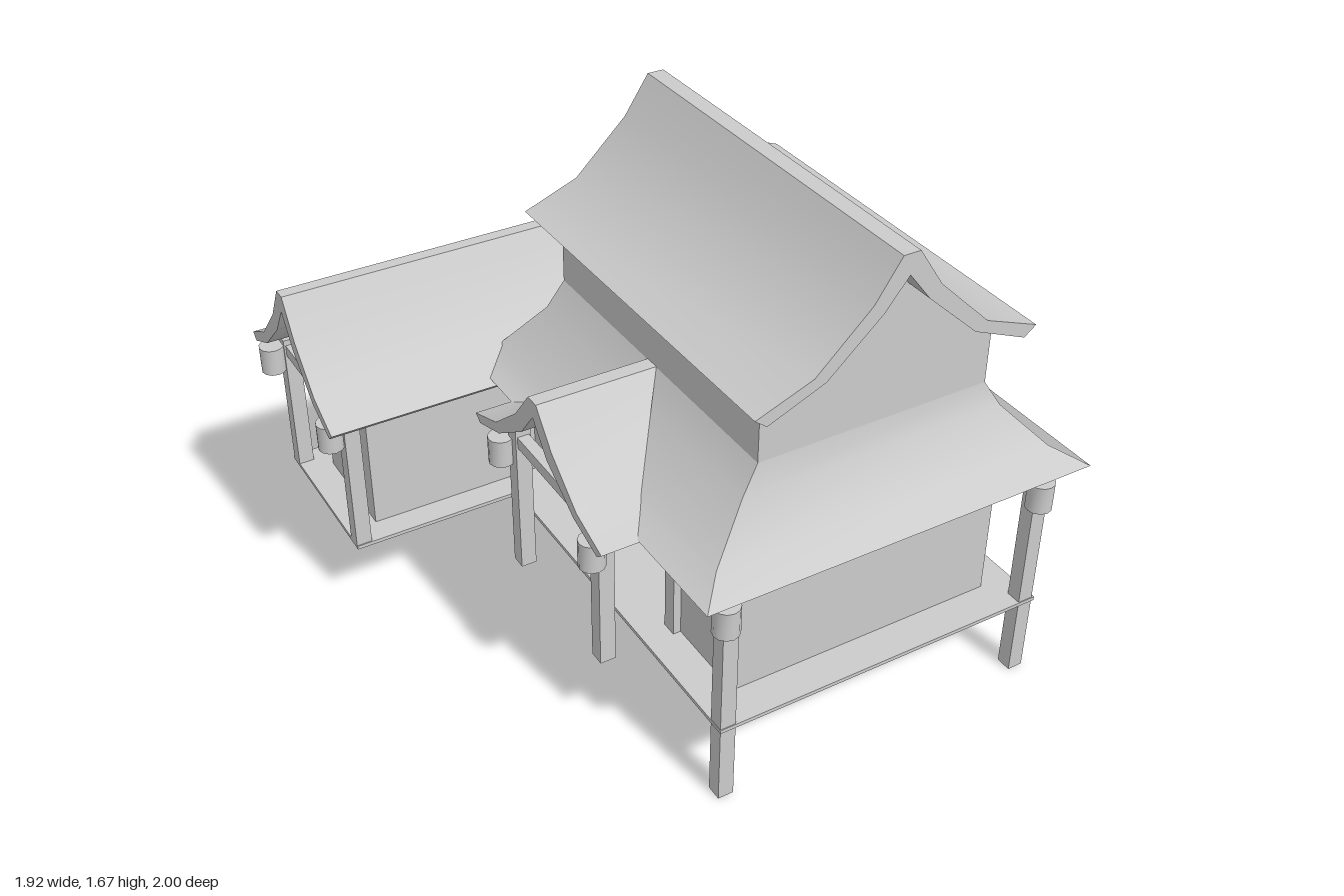
import * as THREE from 'three';
import { toCreasedNormals } from 'three/addons/utils/BufferGeometryUtils.js';

const mat = new THREE.MeshStandardMaterial({ color: 0xcccccc, side: THREE.DoubleSide });
const CX = 0.284, CZ = 0.234; // centre of the main hall

// Flared skirt section: half width, half depth, height
const skirtRows = [[0.395, 0.565, 1.08], [0.451, 0.58, 0.99], [0.585, 0.665, 0.847], [0.674, 0.765, 0.8]];
const fasciaRows = [[0.674, 0.765, 0.8], [0.652, 0.743, 0.777]];

export function createModel() {
  const model = new THREE.Group();

  function add(name, geo, x = 0, y = 0, z = 0) {
    const mesh = new THREE.Mesh(geo, mat);
    mesh.name = name;
    mesh.position.set(x, y, z);
    model.add(mesh);
    return mesh;
  }
  function box(name, x0, x1, y0, y1, z0, z1) {
    add(name, new THREE.BoxGeometry(x1 - x0, y1 - y0, z1 - z0), (x0 + x1) / 2, (y0 + y1) / 2, (z0 + z1) / 2);
  }
  function polygon(points) {
    return new THREE.Shape(points.map(([x, y]) => new THREE.Vector2(x, y)));
  }
  // Thin upright wall from (x0,z0) to (x1,z1), facing right of the direction of travel
  function wall(name, x0, z0, x1, z1, y0, y1) {
    const mesh = add(name, new THREE.PlaneGeometry(Math.hypot(x1 - x0, z1 - z0), y1 - y0),
      (x0 + x1) / 2, (y0 + y1) / 2, (z0 + z1) / 2);
    mesh.rotation.y = Math.atan2(z0 - z1, x1 - x0);
  }
  // Thick curved gable roof: half profile mirrored, extruded along z
  function roofGeometry(outer, inner, length) {
    const flip = (p) => [-p[0], p[1]];
    const profile = [
      ...outer, ...inner, ...inner.slice(0, -1).reverse().map(flip), ...outer.slice().reverse().map(flip),
    ];
    return new THREE.ExtrudeGeometry(polygon(profile), { depth: length, bevelEnabled: false });
  }
  // Sloped strip along one side of the hall
  const corners = [[-1, 1], [1, 1], [1, -1], [-1, -1]];
  function hipSide(name, rows, side) {
    const pos = [], idx = [];
    rows.forEach(([hx, hz, y], r) => {
      for (const c of [corners[side], corners[(side + 1) % 4]]) pos.push(CX + c[0] * hx, y, CZ + c[1] * hz);
      const a = 2 * r;
      if (r < rows.length - 1) idx.push(a, a + 2, a + 1, a + 1, a + 2, a + 3);
    });
    const geo = new THREE.BufferGeometry();
    geo.setAttribute('position', new THREE.Float32BufferAttribute(pos, 3));
    geo.setIndex(idx);
    geo.computeVertexNormals();
    add(name, geo);
  }

  // Floor border: L-shaped slab, open inside the walls
  const floor = polygon([[-0.3, -0.944], [0.868, -0.944], [0.868, 0.944], [-0.882, 0.944], [-0.882, 0.36], [-0.3, 0.36]]);
  floor.holes.push(polygon([[-0.18, -0.82], [-0.18, 0.45], [-0.78, 0.45], [-0.78, 0.83], [0.755, 0.83], [0.755, -0.82]]));
  const floorGeo = new THREE.ExtrudeGeometry(floor, { depth: 0.013, bevelEnabled: false });
  floorGeo.rotateX(-Math.PI / 2);
  add('floorBorder', floorGeo, 0, 0.27, 0);

  // Lower walls (the +x side is open)
  const F = 0.28, T = 0.83;
  wall('frontWall', -0.18, 0.82, 0.755, 0.82, F, T);
  wall('leftWallRear', -0.18, -0.45, -0.18, 0, F, T);
  wall('leftWallFront', -0.18, 0.47, -0.18, 0.82, F, T);
  wall('wallOverEntrance', -0.18, 0, -0.18, 0.47, 0.73, T);
  wall('wingFrontWall', -0.78, -0.45, -0.18, -0.45, F, T);
  wall('wingEndWall', -0.78, -0.83, -0.78, -0.45, F, T);
  wall('backWall', 0.755, -0.83, -0.78, -0.83, F, T);

  // Recessed entrance
  wall('entranceBack', 0.1, 0, 0.1, 0.47, F, 0.73);
  wall('entranceSide', -0.18, 0, 0.1, 0, F, 0.73);
  wall('entranceSide', 0.1, 0.47, -0.18, 0.47, F, 0.73);
  for (const y of [F, 0.73]) {
    const slab = new THREE.PlaneGeometry(0.28, 0.47);
    slab.rotateX(y === F ? -Math.PI / 2 : Math.PI / 2);
    add(y === F ? 'entranceFloor' : 'entranceCeiling', slab, -0.04, y, 0.235);
  }

  // Posts: x, z, bottom, top
  const h = 0.026;
  for (const [x, z, y0, y1] of [
    [-0.272, 0.915, 0, 0.8], [0.834, 0.915, 0, 0.8],
    [-0.435, 0.496, F, T], [-0.435, -0.028, F, T],
    [-0.18, 0.496, F, T], [-0.18, -0.028, F, T],
    [-0.856, -0.91, F, 0.79], [-0.856, -0.39, F, 0.79],
  ]) box('post', x - h, x + h, y0, y1, z - h, z + h);
  box('wingTieBeam', -0.876, -0.836, 0.73, 0.77, -0.89, -0.41);
  box('porchTieBeam', -0.455, -0.415, 0.75, 0.79, -0.01, 0.475);

  // Hanging lanterns under the eaves
  for (const [x, z] of [
    [-0.3, 0.955], [0.812, 0.955], [-0.482, 0.52], [-0.482, -0.066], [-0.916, -0.913], [-0.916, -0.4],
  ]) add('lantern', toCreasedNormals(new THREE.CylinderGeometry(0.042, 0.042, 0.095, 12), 0.6), x, 0.722, z);

  // Skirt roof on three sides, eave strip all round
  [[0, 'frontSkirtRoof'], [2, 'backSkirtRoof'], [3, 'leftSkirtRoof']].forEach(([s, name]) => hipSide(name, skirtRows, s));
  for (let s = 0; s < 4; s++) hipSide('eaveStrip', fasciaRows, s);

  // Upper storey: front rises into the gable
  const x0 = CX - 0.395, x1 = CX + 0.395, z0 = CZ - 0.565, z1 = CZ + 0.565;
  const gable = polygon([[-0.395, 1.08], [0.395, 1.08], [0.395, 1.29], [0.25, 1.355], [0.075, 1.515],
    [0, 1.61], [-0.075, 1.515], [-0.25, 1.355], [-0.395, 1.29]]);
  add('upperFrontWall', new THREE.ShapeGeometry(gable), CX, 0, z1);
  wall('upperBackWall', x1, z0, x0, z0, 1.08, 1.285);
  wall('upperLeftWall', x0, z0, x0, z1, 1.08, 1.285);

  // Main roof
  const mainRoof = roofGeometry(
    [[0.028, 1.672], [0.112, 1.545], [0.29, 1.374], [0.474, 1.303]],
    [[0.435, 1.272], [0.25, 1.35], [0.075, 1.51], [0, 1.605]], 1.322);
  add('mainRoof', toCreasedNormals(mainRoof, 0.6), CX, 0, -0.43);

  // Rear wing roof, running along x
  const wingRoof = roofGeometry(
    [[0.022, 1.115], [0.096, 0.99], [0.225, 0.853], [0.351, 0.785]],
    [[0.327, 0.762], [0.205, 0.82], [0.07, 0.945], [0, 1.05]], 1.845);
  wingRoof.rotateY(Math.PI / 2);
  add('wingRoof', toCreasedNormals(wingRoof, 0.6), -0.945, 0, -0.649);

  // Porch roof, its inner end trimmed to the skirt slope
  const porchRoof = roofGeometry(
    [[0.025, 1.083], [0.115, 0.97], [0.26, 0.85], [0.405, 0.797]],
    [[0.378, 0.775], [0.24, 0.82], [0.08, 0.925], [0, 1.025]], 0.4);
  porchRoof.rotateY(Math.PI / 2);
  const skirtX = (y) => {
    for (let i = 0; i < 3; i++) {
      const [a, , ya] = skirtRows[i], [b, , yb] = skirtRows[i + 1];
      if (y >= yb || i === 2) return CX - a - (b - a) * THREE.MathUtils.clamp((ya - y) / (ya - yb), 0, 1);
    }
  };
  const p = porchRoof.attributes.position;
  for (let i = 0; i < p.count; i++) if (p.getX(i) > 0.2) p.setX(i, skirtX(p.getY(i)) + 0.511);
  porchRoof.computeVertexNormals();
  add('porchRoof', toCreasedNormals(porchRoof, 0.6), -0.511, 0, 0.227);

  return model;
}
